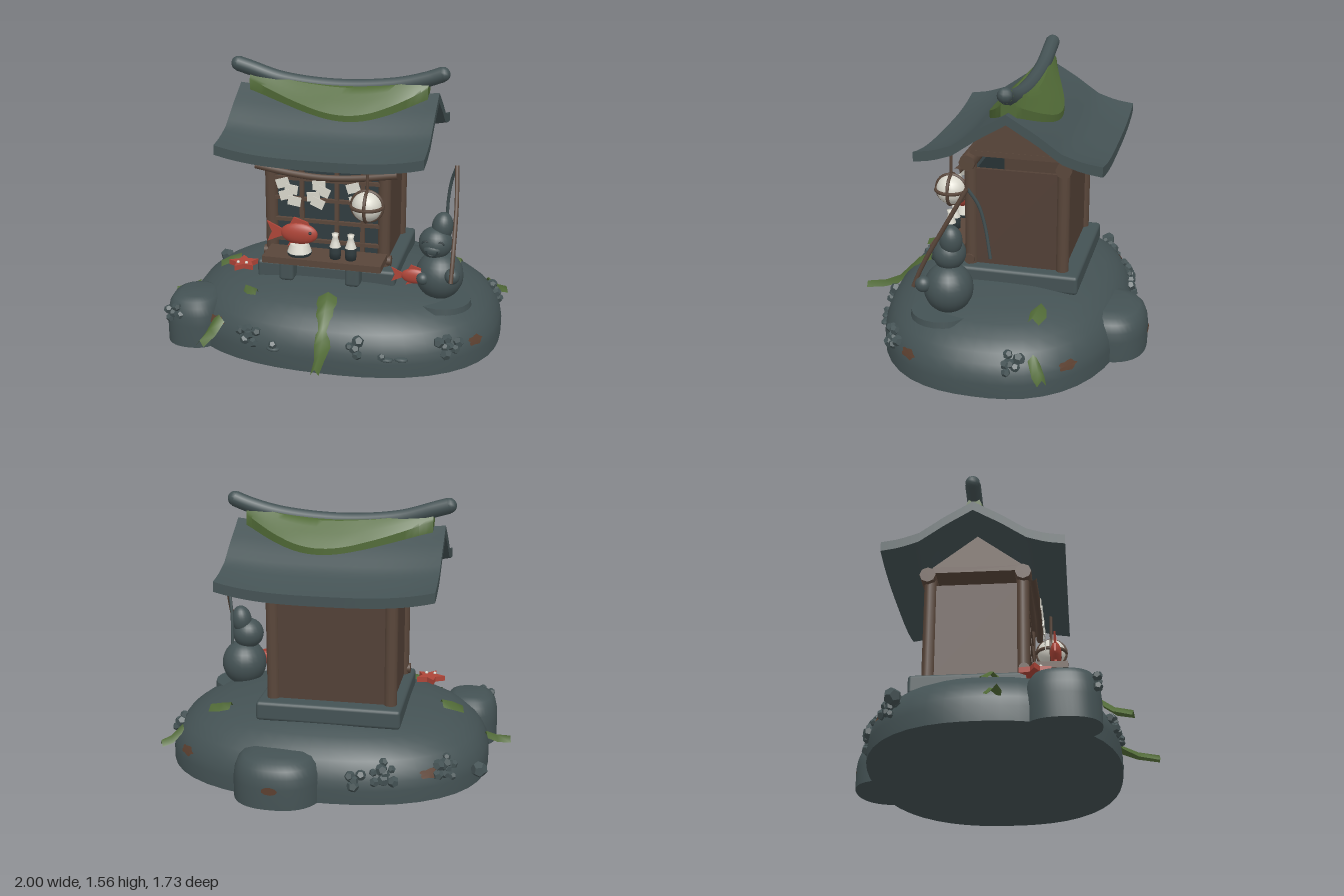
import * as THREE from 'three';
import { mergeVertices, toCreasedNormals } from 'three/addons/utils/BufferGeometryUtils.js';
import { RoundedBoxGeometry } from 'three/addons/geometries/RoundedBoxGeometry.js';

const V = (x, y, z) => new THREE.Vector3(x, y, z);
const mat = (name, color, side = THREE.FrontSide) => {
  const m = new THREE.MeshStandardMaterial({ color, side });
  m.name = name;
  return m;
};

export function createModel() {
  const slate = mat('slate', 0x445254), dark = mat('darkSlate', 0x303c3f);
  const wood = mat('wood', 0x59463a), wall = mat('wallWood', 0x524036);
  const moss = mat('moss', 0x506936, THREE.DoubleSide), red = mat('red', 0xae4538, THREE.DoubleSide);
  const white = mat('white', 0xd9d7cc, THREE.DoubleSide), rust = mat('rust', 0x5c4030, THREE.DoubleSide);
  const root = new THREE.Group();
  root.name = 'shrineOnRock';
  const add = (name, geo, m, p = [0, 0, 0], r = [0, 0, 0], s = [1, 1, 1], parent = root) => {
    const mesh = new THREE.Mesh(geo, m);
    mesh.name = name;
    mesh.position.set(...p);
    mesh.rotation.set(...r);
    mesh.scale.set(...s);
    parent.add(mesh);
    return mesh;
  };
  const box = (name, m, w, h, d, p, r) => add(name, new THREE.BoxGeometry(w, h, d), m, p, r);
  const cyl = (name, m, r0, r1, h, p, r, n = 12) => add(name, new THREE.CylinderGeometry(r1, r0, h, n), m, p, r);
  const tube = (name, m, pts, r, n = 24, sides = 8) =>
    add(name, new THREE.TubeGeometry(new THREE.CatmullRomCurve3(pts.map(q => V(...q))), n, r, sides), m);
  let seed = 7;
  const rnd = () => (seed = (seed * 16807) % 2147483647) / 2147483647 - 0.5;

  // Rocks: lathe profiles (radius fraction, height) warped to a rounded-oval plan
  const EXP = 2.4;
  const warp = (phi, k) => {
    const s = Math.sin(phi), c = Math.cos(phi);
    const g = k * Math.pow(Math.abs(s) ** EXP + Math.abs(c) ** EXP, -1 / EXP);
    return [s * g, c * g];
  };
  const rock = (name, prof, cx, cz, a, b, h) => {
    [[...prof], [[0, 0], [1, 0]]].forEach((pts, i) => {
      let g = new THREE.LatheGeometry(pts.map(q => new THREE.Vector2(q[0], q[1] * h)), 48);
      const p = g.attributes.position;
      for (let j = 0; j < p.count; j++) {
        const x = p.getX(j), z = p.getZ(j);
        const [wx, wz] = warp(Math.atan2(x, z), Math.hypot(x, z));
        p.setXYZ(j, cx + wx * a, p.getY(j), cz + wz * b);
      }
      g.deleteAttribute('uv');
      g.deleteAttribute('normal');
      g = mergeVertices(g);
      g.computeVertexNormals();
      add(name + (i ? 'Underside' : ''), g, slate);
    });
  };
  const prof = [[1, 0], [1, 0.08], [0.99, 0.13], [0.965, 0.18], [0.925, 0.23], [0.86, 0.275],
    [0.77, 0.318], [0.64, 0.352], [0.45, 0.378], [0.25, 0.39], [0.001, 0.394]];
  const boulder = [[1, 0], [1, 0.45], [0.97, 0.65], [0.9, 0.82], [0.78, 0.93], [0.55, 0.99], [0.001, 1]];
  const CX = 0.05, CZ = -0.045, RA = 0.93, RB = 0.695;
  rock('baseRock', prof, CX, CZ, RA, RB, 1);
  rock('frontBoulder', boulder, -0.745, 0.345, 0.165, 0.19, 0.285);
  rock('backBoulder', boulder, 0.225, -0.64, 0.245, 0.23, 0.26);

  // Lookups on the base rock surface
  const lookup = (v, from, to, dir) => {
    for (let i = 1; i < prof.length; i++) {
      const p = prof[i - 1], q = prof[i];
      if (dir * q[from] >= dir * v) return p[to] + (q[to] - p[to]) * ((v - p[from]) / ((q[from] - p[from]) || 1));
    }
    return prof.at(-1)[to];
  };
  const angle = (x, z) => Math.atan2((x - CX) / RA, (z - CZ) / RB);
  const onRock = (phi, y, off = 0) => {
    const [x, z] = warp(phi, lookup(y, 1, 0, 1) + off);
    return V(CX + x * RA, y + off * 0.5, CZ + z * RB);
  };
  const rockY = (x, z) => lookup(Math.min(1, (Math.abs((x - CX) / RA) ** EXP + Math.abs((z - CZ) / RB) ** EXP) ** (1 / EXP)), 0, 1, -1);

  // Seaweed and moss ribbons: [x, y, z, width], y null follows the rock
  const ribbon = (name, pts) => {
    const pos = [], idx = [];
    const c = pts.map(q => V(q[0], q[1] ?? rockY(q[0], q[2]) + 0.014, q[2]));
    c.forEach((p, i) => {
      const t = c[Math.min(i + 1, c.length - 1)].clone().sub(c[Math.max(i - 1, 0)]);
      const s = V(t.z, 0, -t.x).normalize().multiplyScalar(pts[i][3] / 2);
      pos.push(p.x - s.x, p.y - 0.016, p.z - s.z, p.x, p.y + 0.018, p.z, p.x + s.x, p.y - 0.016, p.z + s.z);
      if (i) for (const k of [0, 1]) {
        const a = i * 3 - 3 + k;
        idx.push(a, a + 3, a + 1, a + 1, a + 3, a + 4);
      }
    });
    const g = new THREE.BufferGeometry();
    g.setAttribute('position', new THREE.Float32BufferAttribute(pos, 3));
    g.setIndex(idx);
    g.computeVertexNormals();
    add(name, g, moss);
  };
  ribbon('frontSeaweed', [[0.055, null, 0.41, 0.11], [0.06, null, 0.46, 0.12], [0.065, null, 0.53, 0.1], [0.07, 0.23, 0.6, 0.075], [0.08, 0.18, 0.65, 0.09], [0.085, 0.14, 0.74, 0.055], [0.09, 0.12, 0.86, 0.045]]);
  ribbon('cornerSeaweed', [[-0.55, 0.21, 0.53, 0.08], [-0.58, 0.15, 0.6, 0.07], [-0.61, 0.12, 0.69, 0.05]]);
  ribbon('leftSeaweed', [[-0.86, 0.16, -0.01, 0.06], [-0.92, 0.13, 0.02, 0.07], [-1.0, 0.12, 0.04, 0.05]]);
  ribbon('rightSeaweed', [[0.87, 0.21, -0.35, 0.06], [0.93, 0.15, -0.39, 0.07], [0.98, 0.13, -0.42, 0.05]]);
  ribbon('leftMoss', [[-0.72, null, 0.0, 0.06], [-0.66, null, -0.02, 0.11], [-0.6, null, -0.04, 0.09]]);
  ribbon('rightMoss', [[0.58, null, -0.33, 0.06], [0.64, null, -0.32, 0.11], [0.71, null, -0.31, 0.07]]);
  ribbon('frontMoss', [[-0.44, null, 0.37, 0.04], [-0.4, null, 0.39, 0.07], [-0.36, null, 0.41, 0.03]]);

  // Pebble clusters, shell discs and rust patches around the rock
  const pebble = (name, r, p) => add(name, new THREE.DodecahedronGeometry(r, 0), slate, p, [rnd() * 6, rnd() * 6, 0]);
  [[0.76, 0.47, 0.15, 7], [-0.36, 0.6, 0.16, 6], [0.25, 0.62, 0.16, 4], [0.93, -0.24, 0.19, 6], [-0.68, -0.52, 0.16, 8],
    [-0.36, -0.68, 0.17, 8], [-0.2, -0.72, 0.14, 4], [-0.2, 0.62, 0.13, 1], [0.41, 0.64, 0.12, 1]]
    .forEach(([x, z, y, n]) => {
      for (let i = 0; i < n; i++) {
        const r = 0.025 * Math.sqrt(i), t = i * 2.4 + x;
        const p = onRock(angle(x, z) + Math.cos(t) * r * 1.3, y + Math.sin(t) * r * 0.9, 0.008);
        pebble('pebble', 0.029 + rnd() * 0.014, p.toArray());
      }
    });
  [[-0.83, 0.2], [-0.81, 0.24], [-0.85, 0.17], [-0.79, 0.19], [-0.86, 0.22]].forEach(([x, y]) =>
    pebble('boulderPebble', 0.026, [x, y, 0.515]));
  pebble('loosePebble', 0.046, [-0.85, 0.15, -0.48]);
  for (const x of [-0.19, 0.42, 0.51])
    add('shellDisc', new THREE.SphereGeometry(0.04, 10, 6), slate, onRock(angle(x, 0.6), 0.11).toArray(), [0, 0, 0], [1, 0.3, 0.7]);
  [[-0.58, 0.5, 0.17], [0.87, 0.33, 0.14], [0.76, -0.5, 0.14], [-0.55, -0.55, 0.15]].forEach(([x, z, y]) => {
    const g = new THREE.CircleGeometry(1, 16), p = g.attributes.position, a = angle(x, z);
    for (let i = 0; i < p.count; i++) {
      const k = 0.85 + 0.15 * Math.sin(i * 1.9);
      const q = onRock(a + p.getX(i) * 0.08 * k, y + p.getY(i) * 0.03 * k, 0.008);
      p.setXYZ(i, q.x, q.y, q.z);
    }
    g.computeVertexNormals();
    add('rustPatch', g, rust);
  });
  add('boulderRust', new THREE.CircleGeometry(0.045, 9), rust, [0.225, 0.11, -0.874], [0, Math.PI, 0], [1, 0.5, 1]);

  // Plinth, posts, walls and beams
  const X0 = -0.018, Z0 = -0.13;
  add('plinth', new RoundedBoxGeometry(0.81, 0.11, 0.72, 2, 0.02), slate, [-0.01, 0.4, -0.13]);
  for (const sx of [-1, 1]) {
    for (const z of [0.13, -0.39]) cyl('post', wood, 0.036, 0.036, 0.62, [X0 + sx * 0.33, 0.76, z]);
    box('sideWall', wall, 0.02, 0.57, 0.5, [X0 + sx * 0.33, 0.735, Z0]);
    box('tieBeam', wood, 0.045, 0.03, 0.52, [X0 + sx * 0.33, 1.11, Z0]);
  }
  box('backWall', wall, 0.64, 0.57, 0.02, [X0, 0.735, -0.39]);
  box('frontScreen', dark, 0.64, 0.55, 0.02, [X0, 0.735, 0.11]);
  for (const z of [0.135, -0.4]) cyl('topBeam', wood, 0.046, 0.046, 0.79, [X0, 1.065, z], [0, 0, Math.PI / 2], 8);
  cyl('frontSill', wood, 0.03, 0.03, 0.75, [X0, 0.485, 0.135], [0, 0, Math.PI / 2]);
  for (const x of [-0.165, 0.04, 0.19]) box('latticeUpright', wood, 0.024, 0.5, 0.022, [x, 0.75, 0.14]);
  for (const y of [0.57, 0.69, 0.82, 0.94]) box('latticeRail', wood, 0.62, 0.02, 0.022, [X0, y, 0.145]);

  // Gable block under the roof
  const tri = new THREE.Shape([[-0.26, 1.12], [0.26, 1.12], [0.25, 1.135], [0, 1.325], [-0.25, 1.135]].map(q => new THREE.Vector2(...q)));
  add('gable', new THREE.ExtrudeGeometry(tri, { depth: 0.7, bevelEnabled: false }), wood, [X0 - 0.35, 0, -0.125], [0, Math.PI / 2, 0]);

  // Roof: a slab bent over the ridge, lifted at the ends and most at the corners
  const curve = [[0, 1.365], [0.155, 1.27], [0.295, 1.165], [0.4, 1.122], [0.505, 1.095]];
  const roofY = (x, d) => {
    d = Math.min(Math.abs(d), 0.505);
    const i = Math.max(1, curve.findIndex(q => q[0] >= d));
    const [a, b] = [curve[i - 1], curve[i]];
    return a[1] + (b[1] - a[1]) * (d - a[0]) / (b[0] - a[0]) + (0.02 + 0.12 * d * d) * (Math.abs(x - X0) / 0.58) ** 3;
  };
  const bend = (g, fn) => {
    const p = g.attributes.position;
    for (let i = 0; i < p.count; i++) p.setXYZ(i, ...fn(p.getX(i), p.getY(i), p.getZ(i)));
    g.computeVertexNormals();
    return toCreasedNormals(g, 0.6);
  };
  add('roof', bend(new THREE.BoxGeometry(1.165, 0.055, 1.01, 20, 1, 24),
    (x, y, z) => [x + X0, y + roofY(x + X0, z), z - 0.13]), slate);

  // Ridge pole, with moss running out from below it down to the roof
  const ridge = [[-0.615, 1.522, -0.13], [-0.54, 1.5, -0.13], [-0.35, 1.445, -0.13], [-0.02, 1.418, -0.13], [0.32, 1.445, -0.13], [0.5, 1.49, -0.13], [0.58, 1.52, -0.13]];
  tube('ridge', slate, ridge, 0.044, 30, 10);
  for (const p of [ridge[0], ridge[6]]) add('ridgeEnd', new THREE.SphereGeometry(0.042, 10, 8), slate, p);
  add('roofMoss', bend(new THREE.BoxGeometry(1, 1, 2, 28, 1, 12), (x, y, v) => {
    const X = -0.015 + 1.04 * x;
    const w = 0.042 + 0.155 * Math.max(0, Math.cos((x - 0.08 * (1 - 4 * x * x)) * Math.PI)) ** 1.1;
    const roof = roofY(X, v * w);
    const top = Math.min(roof + 0.062 + 0.062 * (1 - Math.abs(v)) + 0.1 * x * x, 1.432 + 0.24 * (X - X0) ** 2);
    return [X, y > 0 ? top : roof + 0.018, -0.13 + v * w];
  }), moss);

  // Rope with zigzag paper streamers
  tube('rope', wood, [[-0.42, 1.015, 0.19], [-0.2, 0.985, 0.2], [-0.02, 0.975, 0.205], [0.17, 0.985, 0.2], [0.39, 1.015, 0.19]], 0.02);
  [[-0.235, 0.1], [-0.025, -0.15], [0.17, 0.1]].forEach(([x, r]) => {
    for (let i = 0; i < 4; i++)
      box('paperStreamer', white, 0.075, 0.054, 0.006, [x + (i % 2 ? 0.022 : -0.018) + r * i * 0.1, 0.935 - i * 0.033, 0.225 + i * 0.004], [0, 0, r + (i % 2 ? -0.25 : 0.2)]);
  });

  // Lantern with ribs
  const L = [0.24, 0.852, 0.265];
  add('lantern', new THREE.SphereGeometry(0.086, 20, 14), white, L);
  for (let i = 0; i < 2; i++) add('lanternRib', new THREE.TorusGeometry(0.088, 0.01, 6, 24), wood, L, [0, i * Math.PI / 2, 0]);
  add('lanternBand', new THREE.TorusGeometry(0.089, 0.01, 6, 24), wood, L, [Math.PI / 2, 0, 0]);
  cyl('lanternCord', wood, 0.009, 0.009, 0.19, [0.24, 1.03, 0.265], [0, 0, 0], 6);

  // Offering shelf with feet
  box('shelf', wood, 0.68, 0.038, 0.19, [0, 0.522, 0.275]);
  for (const x of [-0.212, 0.17]) add('shelfFoot', new RoundedBoxGeometry(0.085, 0.12, 0.1, 2, 0.02), slate, [x, 0.445, 0.285]);

  // Fish made of a body, forked tail and fin
  const fish = (name, p, s) => {
    const g = new THREE.Group();
    g.name = name;
    g.position.set(...p);
    g.scale.setScalar(s);
    root.add(g);
    const flat = (n, pts) => add(n, new THREE.ExtrudeGeometry(new THREE.Shape(pts.map(q => new THREE.Vector2(...q))),
      { depth: 0.012, bevelEnabled: false }), red, [0, 0, -0.006], [0, 0, 0], [1, 1, 1], g);
    add('fishBody', new THREE.SphereGeometry(1, 18, 12), red, [0, 0, 0], [0, 0, 0], [0.108, 0.063, 0.033], g);
    flat('fishTail', [[-0.08, 0.012], [-0.185, 0.06], [-0.158, 0], [-0.185, -0.06], [-0.08, -0.012]]);
    flat('fishFin', [[-0.06, 0.04], [-0.03, 0.095], [0.05, 0.07], [0.07, 0.03]]);
    flat('fishBellyFin', [[-0.05, -0.05], [-0.07, -0.08], [0, -0.055]]);
    for (const z of [-1, 1]) add('fishEye', new THREE.SphereGeometry(0.009, 8, 6), dark, [0.07, 0.014, z * 0.025], [0, 0, 0], [1, 1, 1], g);
  };
  fish('offeringFish', [-0.14, 0.67, 0.3], 1);
  fish('heldFish', [0.51, 0.455, 0.25], 0.7);
  cyl('dishPlate', dark, 0.065, 0.072, 0.018, [-0.14, 0.552, 0.295]);
  cyl('dish', white, 0.07, 0.052, 0.05, [-0.14, 0.585, 0.295]);

  // Bottles
  for (const x of [0.068, 0.157]) {
    const lathe = pts => new THREE.LatheGeometry(pts.map(q => new THREE.Vector2(...q)), 14);
    add('bottleBody', lathe([[0, 0], [0.03, 0], [0.033, 0.04], [0.032, 0.07]]), dark, [x, 0.54, 0.3]);
    add('bottleNeck', lathe([[0.032, 0.07], [0.022, 0.1], [0.015, 0.125], [0.02, 0.148], [0, 0.148]]), white, [x, 0.54, 0.3]);
  }

  // Red starfish on the rock
  const star = new THREE.Shape();
  for (let i = 0; i < 10; i++) {
    const a = i * Math.PI / 5, r = i % 2 ? 0.045 : 0.09;
    star[i ? 'lineTo' : 'moveTo'](Math.sin(a) * r, Math.cos(a) * r);
  }
  add('starfish', new THREE.ExtrudeGeometry(star, { depth: 0.03, bevelEnabled: false }), red, [-0.505, 0.395, 0.2], [-Math.PI / 2, 0, 0.3]);
  for (const x of [-0.025, 0.025]) add('starfishEye', new THREE.SphereGeometry(0.01, 8, 6), white, [-0.505 + x, 0.427, 0.23]);

  // Stone angler: disc, body, head, tall cap, arms and face
  const ball = (name, p, s, m = slate, r) => add(name, new THREE.SphereGeometry(1, 22, 16), m, p, r, s);
  cyl('statueDisc', slate, 0.175, 0.17, 0.034, [0.655, 0.305, 0.2], [0, 0, 0], 20);
  ball('statueBody', [0.64, 0.445, 0.17], [0.135, 0.14, 0.135]);
  ball('statueHead', [0.612, 0.635, 0.17], [0.095, 0.092, 0.09]);
  ball('statueCap', [0.645, 0.725, 0.15], [0.06, 0.085, 0.062], slate, [0, 0, -0.1]);
  ball('statueSnout', [0.605, 0.615, 0.24], [0.05, 0.032, 0.025]);
  ball('rightHand', [0.56, 0.455, 0.275], [0.035, 0.035, 0.035]);
  ball('leftHand', [0.725, 0.49, 0.285], [0.042, 0.045, 0.045]);
  for (const x of [-1, 1])
    add('statueEye', new THREE.TorusGeometry(0.018, 0.005, 5, 10, Math.PI), dark, [0.608 + x * 0.042, 0.65, 0.246]);
  add('statueSmile', new THREE.TorusGeometry(0.03, 0.005, 5, 12, Math.PI), dark, [0.605, 0.618, 0.26], [0, 0, Math.PI]);
  tube('fishingRod', wood, [[0.725, 0.47, 0.34], [0.725, 0.6, 0.285], [0.718, 0.85, 0.15], [0.7, 1.05, 0.04]], 0.012);
  tube('fishingLine', slate, [[0.7, 1.05, 0.04], [0.668, 0.95, -0.01], [0.648, 0.82, -0.04], [0.642, 0.64, -0.065]], 0.009, 16, 6);
  return root;
}
